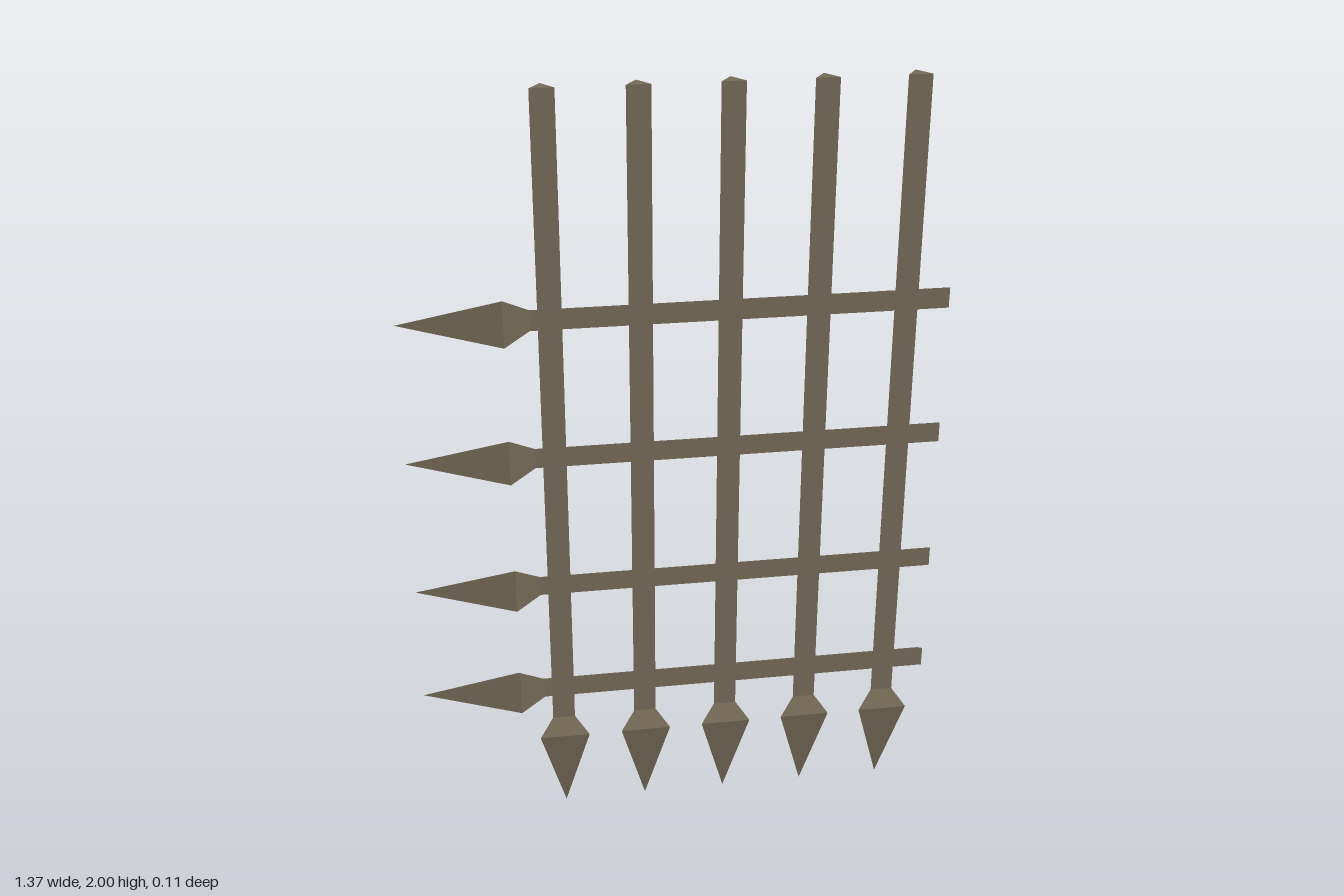
import * as THREE from 'three';

const BAR_R = 0.031, HEAD_R = 0.07, AXIS_Z = 0.016;

export function createModel() {
  const iron = new THREE.MeshStandardMaterial({ color: 0x756b57, flatShading: true });
  iron.name = 'weathered iron';

  // three-sided section between two heights, flat side to the front
  function section(name, rBottom, rTop, y0, y1, open) {
    const geo = new THREE.CylinderGeometry(rTop, rBottom, y1 - y0, 3, 1, open, Math.PI);
    geo.translate(0, (y0 + y1) / 2, 0);
    const mesh = new THREE.Mesh(geo, iron);
    mesh.name = name;
    return mesh;
  }

  // spear with its tip at y = 0, pointing down
  function spear(name, widest, neck, length) {
    const g = new THREE.Group();
    g.name = name;
    g.add(
      section('spearTip', 0, HEAD_R, 0, widest, true),
      section('spearShoulder', HEAD_R, BAR_R, widest, neck, true),
      section('shaft', BAR_R, BAR_R, neck, length, false)
    );
    return g;
  }

  const model = new THREE.Group();
  model.name = 'portcullis';

  // upright bars, slightly wider than the cross bars
  for (let i = 0; i < 5; i++) {
    const bar = spear('uprightBar' + (i + 1), 0.237, 0.288, 2);
    bar.scale.x = 1.1;
    bar.position.set(-0.312 + i * 0.2212, 0, AXIS_Z);
    model.add(bar);
  }

  // cross bars, tips pointing to the model's right
  [0.385, 0.703, 1.072, 1.441].forEach((y, i) => {
    const bar = spear('crossBar' + (i + 1), 0.258, 0.322, 1.366);
    bar.rotation.z = -Math.PI / 2;
    bar.position.set(-0.683, y, AXIS_Z);
    model.add(bar);
  });

  return model;
}
